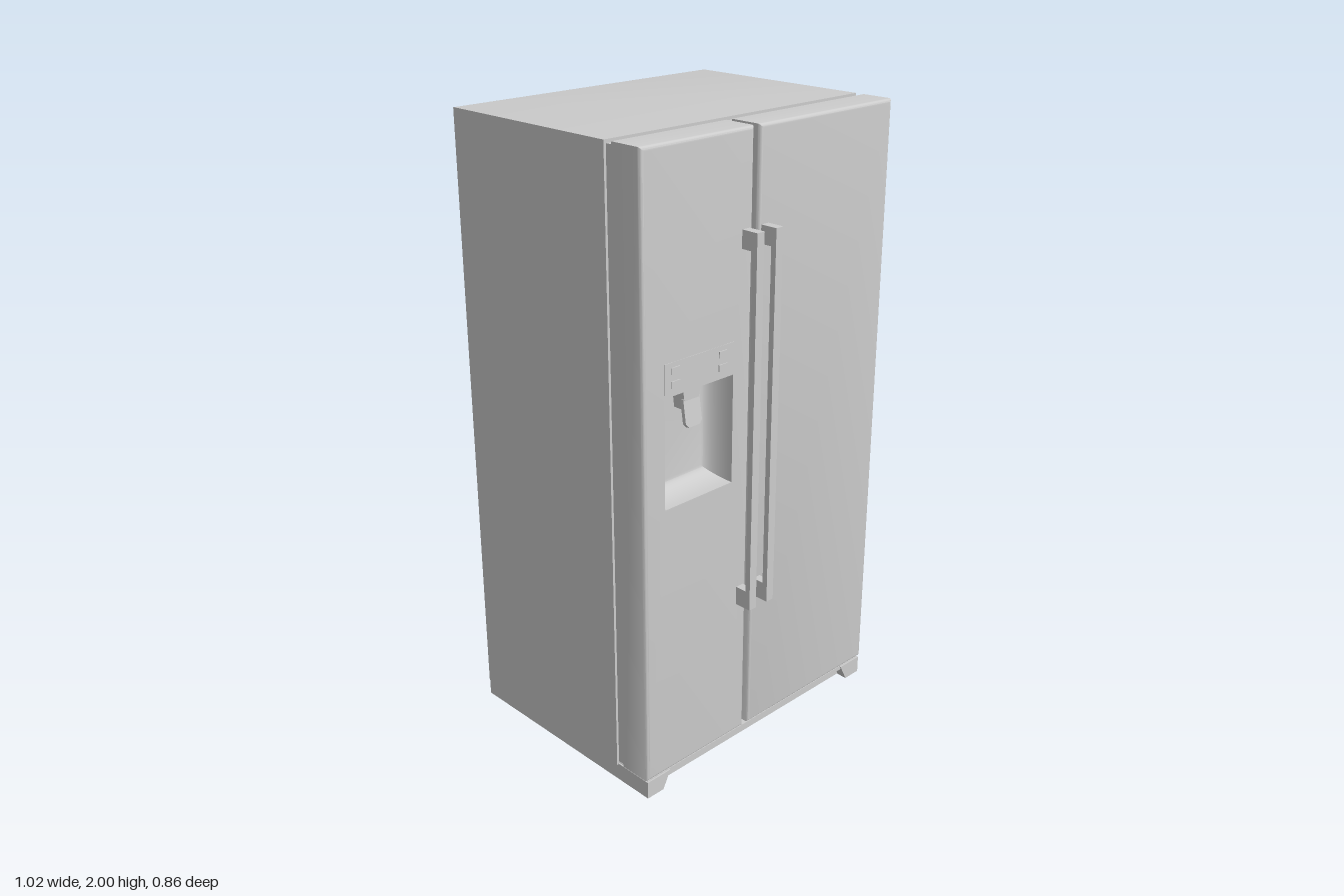
import * as THREE from 'three';
import { toCreasedNormals } from 'three/addons/utils/BufferGeometryUtils.js';

const material = new THREE.MeshStandardMaterial({ color: 0xcccccc });
const thin = new THREE.MeshStandardMaterial({ color: 0xcccccc, side: THREE.DoubleSide });

function rectangle(x0, x1, y0, y1, Type = THREE.Shape) {
  return new Type([[x0, y0], [x1, y0], [x1, y1], [x0, y1]].map(p => new THREE.Vector2(...p)));
}

// Slab from z0 to z1: rounded rim on the z1 end, square rim at z0, optional square-edged hole
function slab([x0, x1, y0, y1], z0, z1, r, hole) {
  const shape = rectangle(x0, x1, y0, y1);
  if (hole) shape.holes.push(rectangle(...hole, THREE.Path));
  const geometry = new THREE.ExtrudeGeometry(shape, {
    depth: z1 - z0 - 2 * r, bevelThickness: r, bevelSize: r, bevelOffset: -r, bevelSegments: 5,
  });
  geometry.translate(0, 0, z0 + r);
  const pos = geometry.attributes.position;
  const near = (v, edges) => edges.find(e => Math.abs(v - e) < r * 1.01) ?? v;
  for (let i = 0; i < pos.count; i++) {
    const x = pos.getX(i), y = pos.getY(i), z = pos.getZ(i);
    if (z < z0 + r * 1.01) pos.setXY(i, near(x, [x0, x1]), near(y, [y0, y1]));
    if (hole) {
      const [a, b, c, d] = hole, m = r * 1.01;
      if (x > a - m && x < b + m && y > c - m && y < d + m)
        pos.setXY(i, near(x, [a, b]), near(y, [c, d]));
    }
  }
  return toCreasedNormals(geometry, 0.6);
}

// Alcove lofted from the door opening back to a smaller rear wall
function alcove(front, back, zFront, depth, steps = 8) {
  const points = [], index = [];
  for (let i = 0; i <= steps; i++) {
    const a = (i / steps) * Math.PI / 2;
    const [x0, x1, y0, y1] = front.map((v, k) => v + (back[k] - v) * (1 - Math.cos(a)));
    const z = zFront - depth * Math.sin(a);
    points.push(x0, y0, z, x1, y0, z, x1, y1, z, x0, y1, z);
    if (i < steps) for (let k = 0; k < 4; k++) {
      const p = i * 4 + k, q = i * 4 + (k + 1) % 4;
      index.push(p, q, q + 4, p, q + 4, p + 4);
    }
  }
  const n = steps * 4;
  index.push(n, n + 1, n + 2, n, n + 2, n + 3);
  const geometry = new THREE.BufferGeometry();
  geometry.setAttribute('position', new THREE.Float32BufferAttribute(points, 3));
  geometry.setIndex(index);
  return toCreasedNormals(geometry, 0.6);
}

export function createModel() {
  const model = new THREE.Group();
  const add = (name, geometry, mat = material) => {
    const mesh = new THREE.Mesh(geometry, mat);
    mesh.name = name;
    model.add(mesh);
    return mesh;
  };
  const box = (name, x0, x1, y0, y1, z0, z1) => {
    const mesh = add(name, new THREE.BoxGeometry(x1 - x0, y1 - y0, z1 - z0));
    mesh.position.set((x0 + x1) / 2, (y0 + y1) / 2, (z0 + z1) / 2);
    return mesh;
  };
  const extrude = (points, depth) => new THREE.ExtrudeGeometry(
    new THREE.Shape(points.map(p => new THREE.Vector2(...p))), { depth, bevelEnabled: false });

  // Cabinet, rounded at the rear, and the recessed seal behind the doors
  add('cabinet', slab([-0.51, 0.51, 0.055, 2], -0.235, 0.43, 0.014)).rotation.y = Math.PI;
  box('doorSeal', -0.502, 0.502, 0.065, 1.99, 0.23, 0.27);

  // Doors
  const opening = [-0.43, -0.16, 0.96, 1.3];
  add('freezerDoor', slab([-0.51, -0.088, 0.065, 2], 0.265, 0.374, 0.012, opening));
  add('fridgeDoor', slab([-0.066, 0.51, 0.065, 2], 0.265, 0.374, 0.012));

  // Dispenser: alcove, spout, paddle and control strip
  add('dispenserAlcove', alcove(opening, [-0.385, -0.2, 1.0, 1.3], 0.374, 0.09), thin);
  const spout = add('dispenserSpout', extrude(
    [[-0.025, 0], [0.025, 0], [0.034, 0.075], [-0.034, 0.075]], 0.045));
  spout.position.set(-0.298, 1.226, 0.3);
  const paddle = add('dispenserPaddle', extrude(
    [[-0.022, 0], [0.022, 0], [0.032, 0.012], [0.032, 0.085], [-0.032, 0.085], [-0.032, 0.012]], 0.012));
  paddle.position.set(-0.298, 1.175, 0.345);
  paddle.rotation.x = -0.15;
  box('controlStrip', -0.43, -0.16, 1.31, 1.4, 0.37, 0.3755);
  for (const x of [-0.39, -0.205])
    for (const y of [1.325, 1.365])
      box('controlButton', x - 0.016, x + 0.016, y, y + 0.02, 0.37, 0.379);

  // Bar handles on two posts each
  const handle = [[0.37, 0.535], [0.431, 0.535], [0.431, 1.72], [0.37, 1.72],
    [0.37, 1.665], [0.413, 1.665], [0.413, 0.595], [0.37, 0.595]];
  for (const [name, x] of [['freezerHandle', -0.103], ['fridgeHandle', -0.026]]) {
    const mesh = add(name, extrude(handle, 0.029));
    mesh.rotation.y = -Math.PI / 2;
    mesh.position.x = x;
  }

  // Hollow base: deck, side skirts, splayed corner feet and set-back kick plates
  box('baseDeck', -0.5, 0.5, 0.045, 0.06, -0.42, 0.365);
  for (const side of [-1, 1]) {
    const x = side * 0.495;
    box('sideSkirt', x - 0.01, x + 0.01, 0, 0.058, -0.425, 0.37);
    for (const z of [-0.425, 0.33]) {
      const points = [[0.44, 0], [0.504, 0], [0.504, 0.058], [0.41, 0.058]];
      const mirrored = points.map(([px, py]) => [side * px, py]);
      add('foot', extrude(mirrored, 0.04)).position.z = z;
    }
  }
  box('frontKickPlate', -0.485, 0.485, 0.004, 0.05, 0.32, 0.335);
  box('rearKickPlate', -0.485, 0.485, 0.015, 0.05, -0.4, -0.385);
  return model;
}
